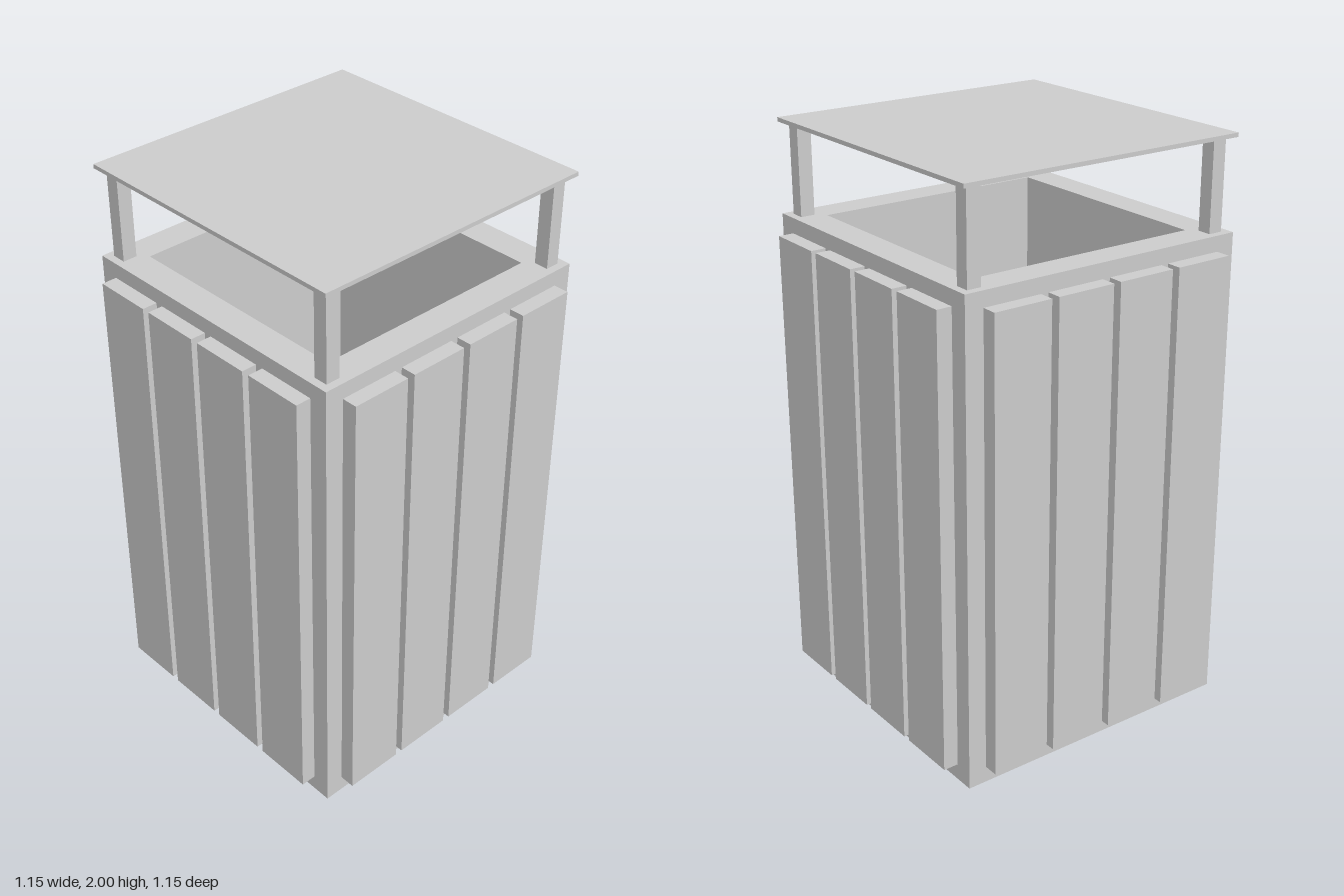
import * as THREE from 'three';

const BODY = 0.522;      // half width of the body
const BODY_TOP = 1.68;
const OPENING = 0.415;   // half width of the opening
const FLOOR = 0.01;
const ROOF_BOTTOM = 1.986;

const material = new THREE.MeshStandardMaterial({ color: 0xcccccc, flatShading: true });

function mesh(name, geometry, parent) {
  const m = new THREE.Mesh(geometry, material);
  m.name = name;
  parent.add(m);
  return m;
}

function box(name, w, h, d, x, y, z, parent) {
  const m = mesh(name, new THREE.BoxGeometry(w, h, d), parent);
  m.position.set(x, y, z);
  return m;
}

function square(Path, r) {
  return new Path([[-r, -r], [r, -r], [r, r], [-r, r]].map(([x, y]) => new THREE.Vector2(x, y)));
}

export function createModel() {
  const model = new THREE.Group();
  model.name = 'litterBin';

  // Hollow body with a thick rim, closed by a thin floor
  const shape = square(THREE.Shape, BODY);
  shape.holes.push(square(THREE.Path, OPENING));
  const walls = new THREE.ExtrudeGeometry(shape, { depth: BODY_TOP, bevelEnabled: false });
  walls.rotateX(-Math.PI / 2);
  mesh('body', walls, model);
  box('floor', OPENING * 2, FLOOR, OPENING * 2, 0, FLOOR / 2, 0, model);

  // Four vertical slats on each side
  for (let side = 0; side < 4; side++) {
    const panel = new THREE.Group();
    panel.name = 'slatPanel';
    panel.rotation.y = side * Math.PI / 2;
    for (let i = 0; i < 4; i++) {
      box('slat', 0.208, 1.57, 0.053, (i - 1.5) * 0.235, 0.842, BODY + 0.0265, panel);
    }
    model.add(panel);
  }

  // Corner posts carrying the flat roof
  const postHeight = ROOF_BOTTOM - BODY_TOP;
  for (const x of [-0.47, 0.47]) {
    for (const z of [-0.47, 0.47]) {
      box('roofPost', 0.05, postHeight, 0.05, x, BODY_TOP + postHeight / 2, z, model);
    }
  }
  box('roof', BODY * 2, 2 - ROOF_BOTTOM, BODY * 2, 0, (2 + ROOF_BOTTOM) / 2, 0, model);

  return model;
}
